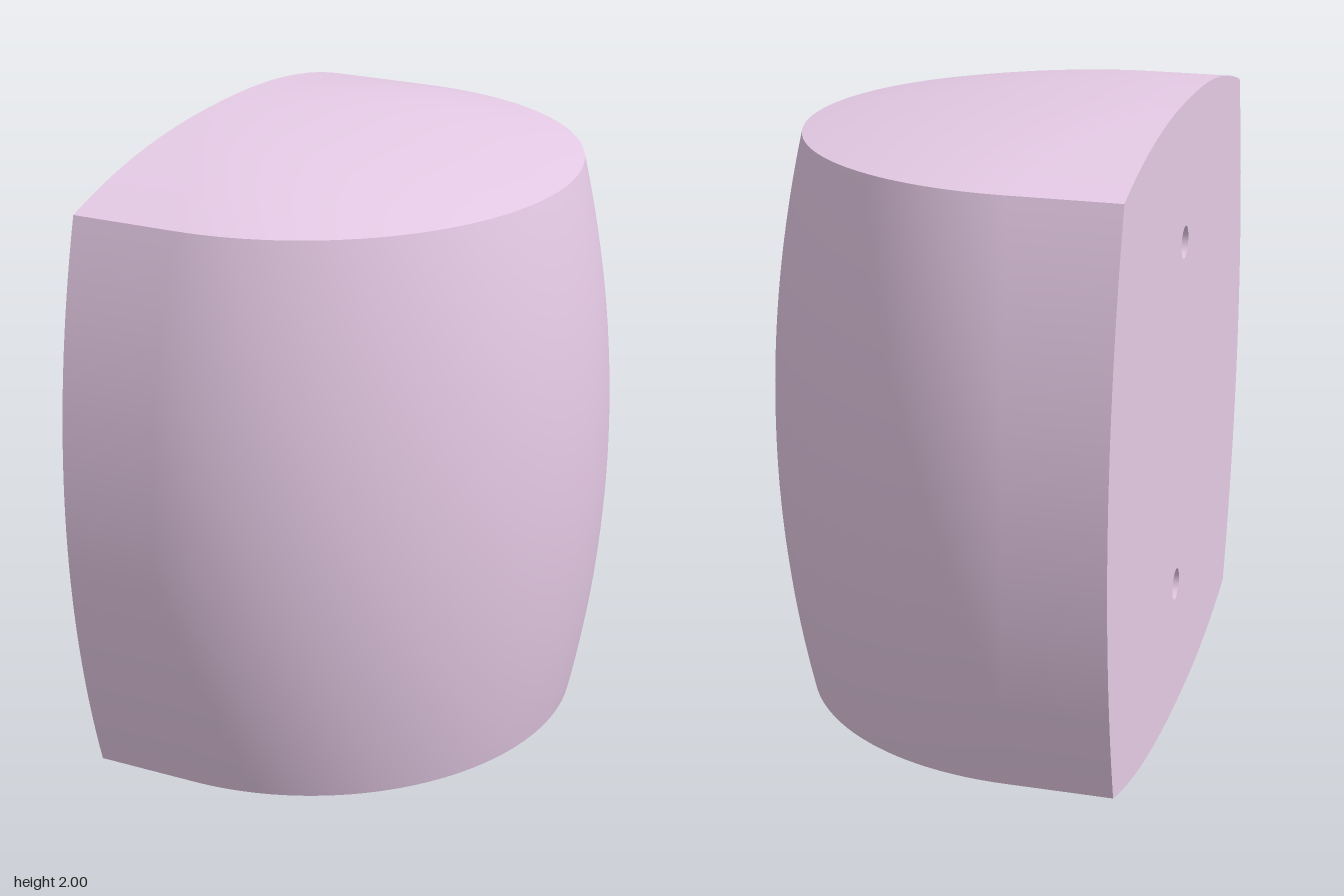
import * as THREE from 'three';
import { ParametricGeometry } from 'three/addons/geometries/ParametricGeometry.js';

const BACK = -0.635;             // x of the flat face
const RIM = 0.89, DOME = 0.11;   // half height to the rim, rise of each cap
const HOLE_R = 0.05, HOLE_DEPTH = 0.3;
const SEGS = 80;

// D-shaped plan; k is 0 at the widest girth and 1 at the rim
function outline(u, k) {
  const r = 0.965 - 0.13 * k;
  const cx = -0.335 + 0.03 * k;
  if (u < 0.1) return [THREE.MathUtils.lerp(BACK, cx, u / 0.1), r];
  if (u > 0.9) return [THREE.MathUtils.lerp(cx, BACK, (u - 0.9) / 0.1), -r];
  const a = (u - 0.1) / 0.8 * Math.PI;
  return [cx + r * Math.sin(a), r * Math.cos(a)];
}

// Cap height above the rim, s running from the middle of the flat face to the rim
function domeHeight(s, sideways) {
  return DOME * (1 - Math.pow(s, 2 + 0.3 * sideways));
}

export function createModel() {
  const model = new THREE.Group();
  const material = new THREE.MeshStandardMaterial({ color: 0xe6cbe6 });
  const add = (name, geometry) => {
    const mesh = new THREE.Mesh(geometry, material);
    mesh.name = name;
    model.add(mesh);
    return mesh;
  };

  // Bulging side wall
  add('sideWall', new ParametricGeometry((u, v, p) => {
    const t = 2 * v - 1;
    const [x, z] = outline(u, t * t);
    p.set(x, 1 + RIM * t, z);
  }, SEGS, 32));

  // Domed caps: rim outline shrunk towards the middle of the flat face
  const cap = new ParametricGeometry((u, v, p) => {
    const s = Math.max(1 - v, 0.001);
    const [x, z] = outline(u, 1);
    p.set(BACK + (x - BACK) * s, RIM + domeHeight(s, Math.abs(z) / 0.835), z * s);
  }, SEGS, 24);
  add('topCap', cap).position.y = 1;
  const bottom = add('bottomCap', cap);
  bottom.rotation.x = Math.PI;
  bottom.position.y = 1;

  // Flat mounting face, bounded by the wall and cap curves
  const edge = [];
  for (const side of [1, -1]) {
    for (let i = 0; i < 32; i++) {        // wall edge
      const t = i / 16 - 1;
      edge.push(new THREE.Vector2(side * outline(0, t * t)[1], 1 + side * RIM * t));
    }
    for (let i = 0; i < 48; i++) {        // cap edge
      const s = 1 - i / 24;
      edge.push(new THREE.Vector2(side * 0.835 * s, 1 + side * (RIM + domeHeight(Math.abs(s), 1))));
    }
  }
  const face = new THREE.Shape(edge);
  const holeHeights = [0.44, 1.56];
  for (const y of holeHeights) {
    face.holes.push(new THREE.Path().absarc(0, y, HOLE_R, 0, Math.PI * 2, true));
  }
  const mount = add('mountingFace', new THREE.ShapeGeometry(face, 16));
  mount.rotation.y = -Math.PI / 2;
  mount.position.x = BACK;

  // Blind screw holes: inward-facing wall and floor
  const bore = new THREE.CylinderGeometry(HOLE_R, HOLE_R, HOLE_DEPTH, 32, 1, true);
  bore.rotateZ(Math.PI / 2);
  const floor = new THREE.CircleGeometry(HOLE_R, 32).rotateY(-Math.PI / 2);
  const boreMaterial = material.clone();
  boreMaterial.side = THREE.DoubleSide;
  for (const y of holeHeights) {
    const wall = add('screwHoleWall', bore);
    wall.material = boreMaterial;
    wall.position.set(BACK + HOLE_DEPTH / 2, y, 0);
    add('screwHoleFloor', floor).position.set(BACK + HOLE_DEPTH, y, 0);
  }

  return model;
}
